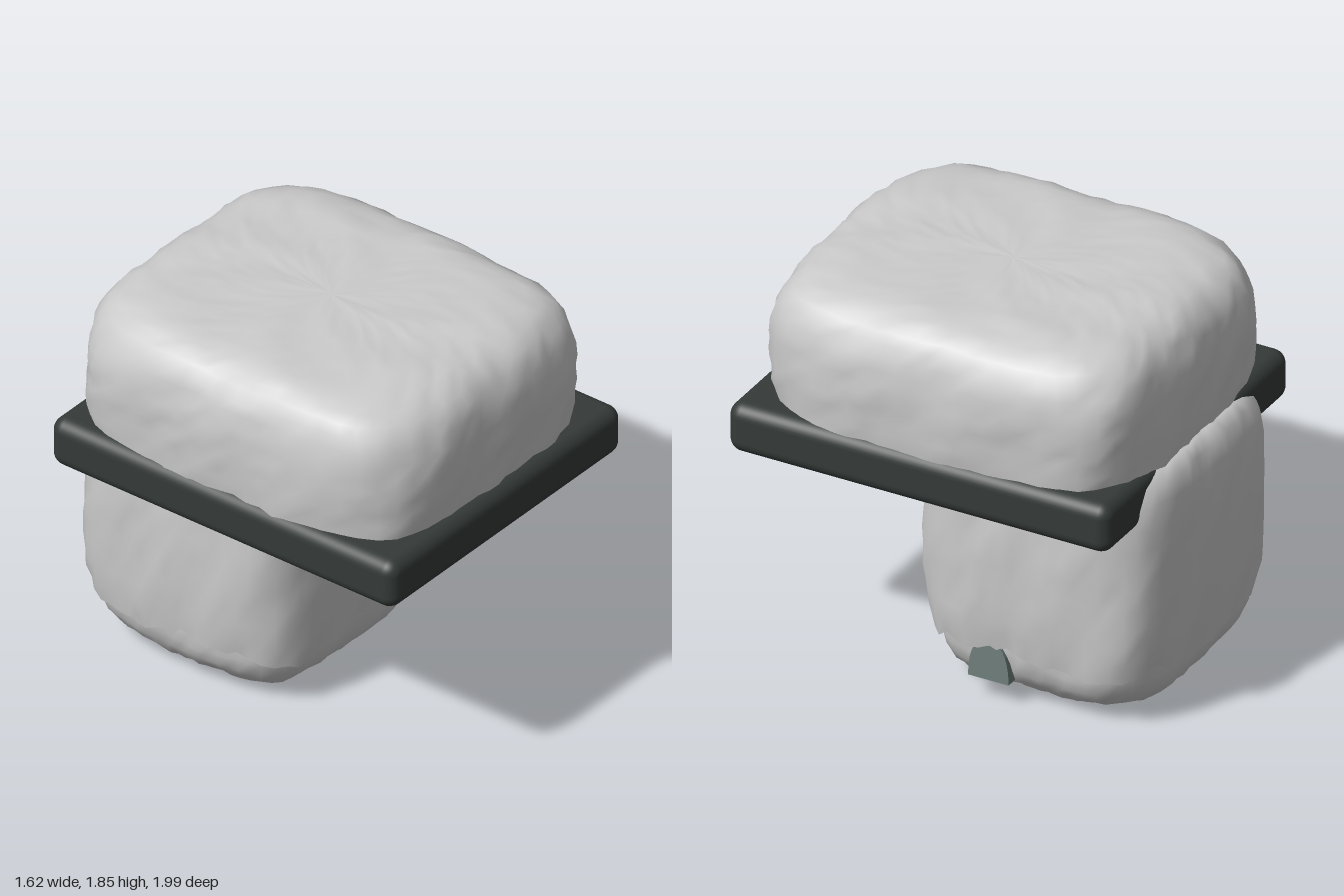
import * as THREE from 'three';
import { RoundedBoxGeometry } from 'three/addons/geometries/RoundedBoxGeometry.js';

const STEPS = 80;

// Repeatable roughness between -1 and 1
function rough(i, j) {
  const v = Math.sin(i * 127.1 + j * 311.7) * 43758.5453;
  return (v - Math.floor(v)) * 2 - 1;
}

// Shaggy shell: rounded-square rings follow a [scale, height] profile from bottom to top
function shaggyShell({ name, profile, hx, hz, z, rows, power = 4.5, hem = 0 }) {
  const curve = new THREE.SplineCurve(profile.map(([s, y]) => new THREE.Vector2(s, y)));
  const rings = curve.getSpacedPoints(rows);
  const pos = [], idx = [];
  rings.forEach((p, i) => {
    for (let j = 0; j < STEPS; j++) {
      const a = (j / STEPS) * Math.PI * 2;
      const c = Math.cos(a), s = Math.sin(a);
      const r = (Math.abs(c) ** power + Math.abs(s) ** power) ** (-1 / power);
      const scale = Math.max(p.x, 0);
      const tuft = 0.009 * rough(i, j) + 0.006 * Math.sin(a * 11 + p.y * 7);
      const k = scale * r * (1 + tuft);
      // ragged hem fades out over the lowest rows
      const rag = hem * Math.max(0, 1 - i / 2) * (rough(3, j) + Math.sin(a * 5) + 0.6 * Math.sin(a * 13));
      const lift = 0.007 * scale * (rough(j, i) + Math.sin(a * 7 + scale * 9));
      pos.push(hx * k * c, p.y + lift + rag, z + hz * k * s);
    }
  });
  for (let i = 0; i < rows; i++) {
    for (let j = 0; j < STEPS; j++) {
      const n = (j + 1) % STEPS;
      const a = i * STEPS + j, b = i * STEPS + n;
      const c = a + STEPS, d = b + STEPS;
      idx.push(a, c, b, b, c, d);
    }
  }
  const geo = new THREE.BufferGeometry();
  geo.setAttribute('position', new THREE.Float32BufferAttribute(pos, 3));
  geo.setIndex(idx);
  geo.computeVertexNormals();
  const mesh = new THREE.Mesh(geo, new THREE.MeshStandardMaterial({ color: 0xcccccc, side: THREE.DoubleSide }));
  mesh.name = name;
  return mesh;
}

export function createModel() {
  const group = new THREE.Group();
  group.name = 'shaggyBlockHead';

  // Large upper block
  group.add(shaggyShell({
    name: 'upperBlock', hx: 0.8, hz: 0.935, z: 0.027, rows: 26,
    profile: [[0.96, 1.14], [0.985, 1.3], [1, 1.5], [0.99, 1.62], [0.95, 1.74],
      [0.86, 1.82], [0.7, 1.855], [0.4, 1.86], [0, 1.86]],
  }));

  // Lower block wall with a ragged hem
  group.add(shaggyShell({
    name: 'lowerBlock', hx: 0.645, hz: 0.615, z: -0.37, rows: 20, hem: 0.022,
    profile: [[0.95, 0.26], [0.975, 0.36], [0.995, 0.6], [1, 0.85], [0.985, 1.05],
      [0.95, 1.17], [0.87, 1.23], [0.6, 1.24], [0, 1.24]],
  }));

  // Rounded underside tucked inside the hem
  group.add(shaggyShell({
    name: 'underside', hx: 0.645, hz: 0.615, z: -0.37, rows: 18, power: 4,
    profile: [[0, 0.025], [0.35, 0.02], [0.6, 0.025], [0.74, 0.055], [0.85, 0.12],
      [0.91, 0.2], [0.93, 0.3], [0.93, 0.42]],
  }));

  // Dark slab between the blocks
  const slab = new THREE.Mesh(
    new RoundedBoxGeometry(1.62, 0.24, 1.89, 4, 0.065),
    new THREE.MeshStandardMaterial({ color: 0x353b39 }));
  slab.name = 'slab';
  slab.position.set(0, 1.14, 0.055);
  group.add(slab);

  // Small pointed tooth on the left side
  const arch = new THREE.Shape();
  arch.moveTo(-0.1, 0);
  arch.lineTo(0.1, 0);
  arch.bezierCurveTo(0.1, 0.1, 0.08, 0.17, 0.02, 0.215);
  arch.quadraticCurveTo(0, 0.225, -0.02, 0.215);
  arch.bezierCurveTo(-0.08, 0.17, -0.1, 0.1, -0.1, 0);
  const tooth = new THREE.Mesh(
    new THREE.ExtrudeGeometry(arch, { depth: 0.16, bevelEnabled: false, curveSegments: 8 }),
    new THREE.MeshStandardMaterial({ color: 0x71807c }));
  tooth.name = 'tooth';
  tooth.rotation.y = Math.PI / 2;
  tooth.position.set(0.45, 0.12, -0.19);
  group.add(tooth);

  return group;
}
